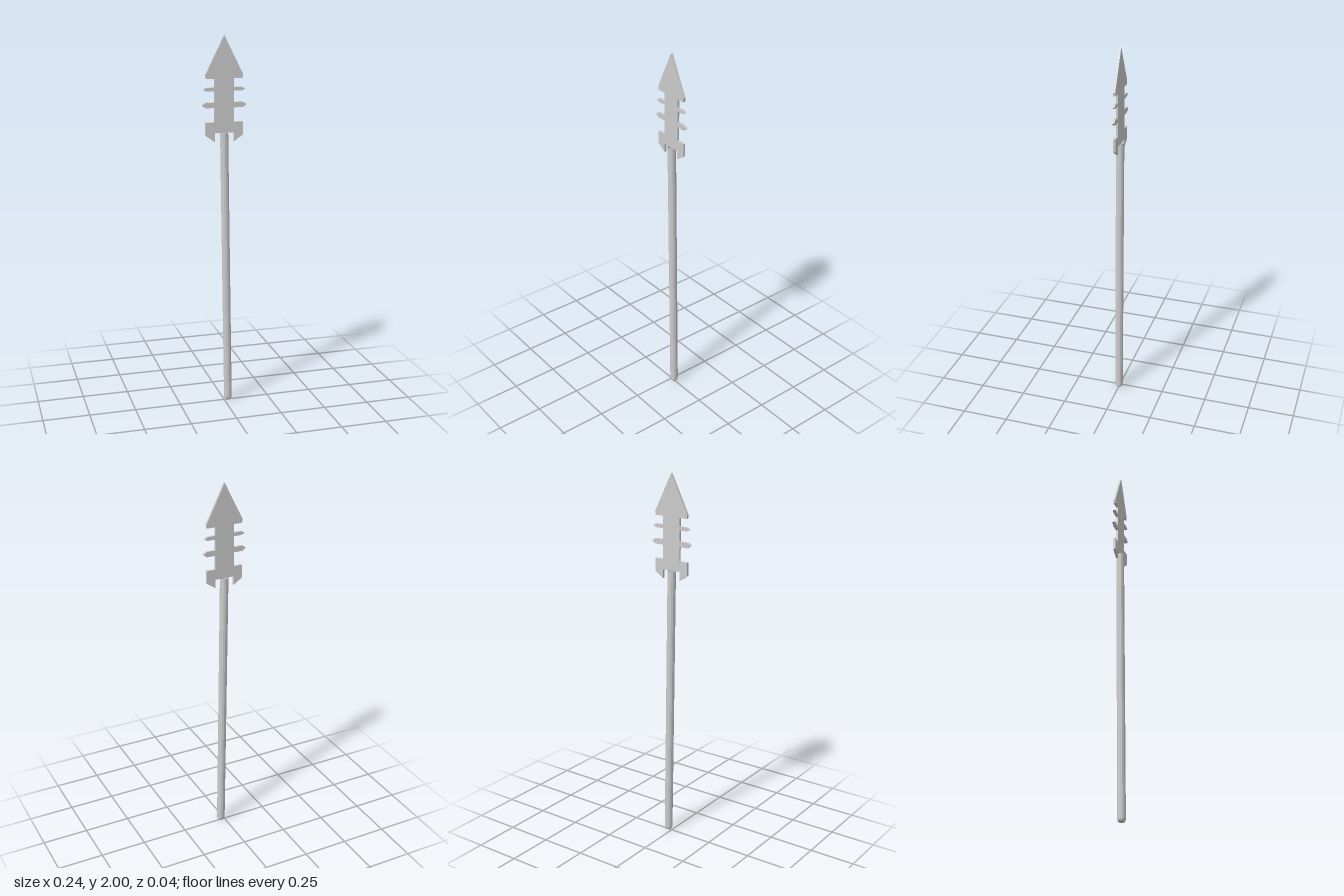
import * as THREE from 'three';

export function createModel() {
  const group = new THREE.Group();
  const material = new THREE.MeshStandardMaterial({ color: 0xcccccc, flatShading: true, side: THREE.DoubleSide });

  // Flat barbed head: right half of the outline, mirrored for the left
  const half = [
    [0, 2], [0.1, 1.8], [0.097, 1.78], [0.052, 1.78],
    [0.052, 1.735], [0.096, 1.735], [0.112, 1.725], [0.096, 1.716], [0.052, 1.716],
    [0.052, 1.658], [0.1, 1.658], [0.12, 1.645], [0.1, 1.63], [0.052, 1.63],
    [0.052, 1.555], [0.1, 1.555], [0.1, 1.486], [0.052, 1.453], [0.052, 1.5],
  ];
  const mirrored = half.slice(1).reverse().map(([x, y]) => [-x, y]);
  const outline = new THREE.Shape([...half, ...mirrored].map(([x, y]) => new THREE.Vector2(x, y)));
  const depth = 0.012;
  const headGeometry = new THREE.ExtrudeGeometry(outline, { depth, bevelEnabled: false });
  headGeometry.translate(0, 0, -depth / 2);
  const head = new THREE.Mesh(headGeometry, material);
  head.name = 'barbedHead';
  group.add(head);

  // Shaft: open at the top, rounded butt, leaning slightly to the side
  const profile = [[0, 0], [0.013, 0.003], [0.02, 0.01], [0.022, 0.02], [0.022, 1.5]];
  const shaftGeometry = new THREE.LatheGeometry(profile.map(([r, y]) => new THREE.Vector2(r, y)), 12);
  const position = shaftGeometry.attributes.position;
  for (let i = 0; i < position.count; i++) {
    position.setX(i, position.getX(i) + 0.022 * (1 - position.getY(i) / 1.5));
  }
  shaftGeometry.computeVertexNormals();
  const shaft = new THREE.Mesh(shaftGeometry, material);
  shaft.name = 'shaft';
  group.add(shaft);

  return group;
}
